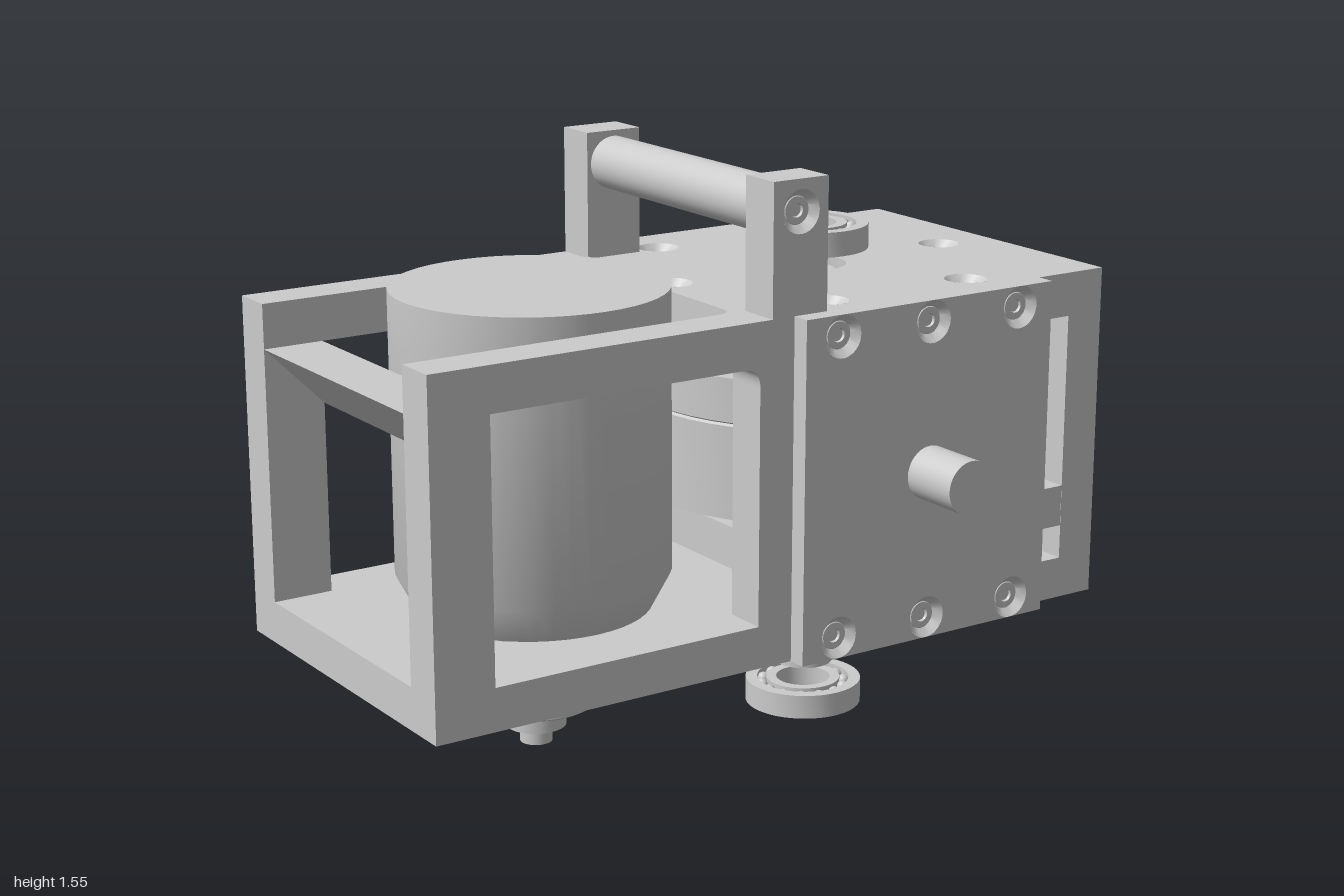
import * as THREE from 'three';
import { toCreasedNormals } from 'three/addons/utils/BufferGeometryUtils.js';

const grey = new THREE.MeshStandardMaterial({ color: 0xcccccc, side: THREE.DoubleSide });
const V = (x, y) => new THREE.Vector2(x, y);

export function createModel() {
  const root = new THREE.Group();

  const add = (name, geo, x = 0, y = 0, z = 0, parent = root) => {
    const m = new THREE.Mesh(geo, grey);
    m.name = name;
    m.position.set(x, y, z);
    parent.add(m);
    return m;
  };
  // box given by its limits
  const box = (name, x0, x1, y0, y1, z0, z1) =>
    add(name, new THREE.BoxGeometry(x1 - x0, y1 - y0, z1 - z0), (x0 + x1) / 2, (y0 + y1) / 2, (z0 + z1) / 2);
  const cyl = (name, r, y0, y1, x, z = 0, parent = root) =>
    add(name, new THREE.CylinderGeometry(r, r, y1 - y0, 40), x, (y0 + y1) / 2, z, parent);
  const lathe = (pts, seg = 40) =>
    toCreasedNormals(new THREE.LatheGeometry(pts.map(p => V(p[0], p[1])), seg), 0.5);
  const rect = (x0, x1, y0, y1) => new THREE.Shape([V(x0, y0), V(x1, y0), V(x1, y1), V(x0, y1)]);
  const drill = (shape, x, y, r) => {
    const p = new THREE.Path();
    p.absarc(x, y, r, 0, Math.PI * 2, true);
    shape.holes.push(p);
  };
  const extrude = (shape, depth) =>
    new THREE.ExtrudeGeometry(shape, { depth, bevelEnabled: false, curveSegments: 20 });
  // plate drawn as (x, -z), extruded upwards
  const flat = (shape, depth) => extrude(shape, depth).rotateX(-Math.PI / 2);

  // countersunk screw seat, opening along +y at the origin
  const R = 0.055;
  const seat = lathe([[0, -0.025], [0.016, -0.025], [0.018, -0.018], [0.034, -0.018], [0.036, -0.02], [R, 0]], 24);
  const screw = (x, y, z, rotX) => { add('screwSeat', seat, x, y, z).rotation.x = rotX; };

  // bottom plate with motor mounting holes
  const bottom = rect(-1, 1, -0.475, 0.475);
  for (const sx of [-1, 1]) for (const sz of [-1, 1]) {
    const x = -0.45 + sx * 0.175, z = sz * 0.175;
    drill(bottom, x, -z, R);
    screw(x, 0.34, z, Math.PI);
  }
  add('bottomPlate', flat(bottom, 0.11), 0, 0.34, 0);

  // top plate: closed over the gearbox, two rails beside the motor
  const top = new THREE.Shape();
  top.moveTo(-1, -0.475);
  top.lineTo(1, -0.475);
  top.lineTo(1, 0.475);
  top.lineTo(-1, 0.475);
  top.lineTo(-1, 0.36);
  top.lineTo(-0.14, 0.36);
  top.quadraticCurveTo(-0.09, 0.36, -0.09, 0.31);
  top.lineTo(-0.09, -0.31);
  top.quadraticCurveTo(-0.09, -0.36, -0.14, -0.36);
  top.lineTo(-1, -0.36);
  for (const [x, z] of [[0.18, 0.38], [0.18, -0.38], [0.62, 0.38], [0.62, -0.38], [0.84, 0], [-0.03, 0]]) {
    drill(top, x, -z, R);
    screw(x, 1.225, z, 0);
  }
  drill(top, 0.4, 0, 0.1);
  add('topPlate', flat(top, 0.115), 0, 1.11, 0);

  // end wall, shelf and slanted brace under the open end
  box('endWall', 0.89, 1, 0.45, 1.11, -0.475, 0.475);
  box('shelf', -0.04, 0.89, 0.54, 0.65, -0.474, 0.474);
  add('endBrace', extrude(new THREE.Shape([V(-1, 1.11), V(-0.84, 0.95), V(-0.84, 1.11)]), 0.72), 0, 0, -0.36);

  // parts repeated on front and back
  for (const s of [1, -1]) {
    const turn = s * Math.PI / 2;
    const zMin = (a, b) => Math.min(s * a, s * b);
    const span = (name, x0, x1, y0, y1, a, b) => box(name, x0, x1, y0, y1, zMin(a, b), -zMin(-a, -b));
    span('cornerPost', -1, -0.84, 0.45, 1.11, 0.36, 0.475);
    span('middlePost', -0.09, 0.04, 0.45, 1.11, 0.36, 0.475);

    const fillet = new THREE.Shape();
    fillet.moveTo(-0.09, 1.11);
    fillet.lineTo(-0.14, 1.11);
    fillet.quadraticCurveTo(-0.09, 1.11, -0.09, 1.06);
    add('openingFillet', extrude(fillet, 0.115), 0, 0, zMin(0.36, 0.475));

    // bolted cover plate with six screws
    const cover = rect(0.01, 0.785, 0.34, 1.225);
    for (const x of [0.12, 0.4, 0.68]) for (const y of [0.395, 1.17]) {
      drill(cover, x, y, R);
      screw(x, y, s * 0.525, turn);
    }
    add('coverPlate', extrude(cover, 0.05), 0, 0, zMin(0.475, 0.525));
    const stub = cyl('sideShaft', 0.07, -0.11, 0.11, 0.4);
    stub.position.set(0.4, 0.78, s * 0.58);
    stub.rotation.x = turn;

    // handle post
    const post = rect(-0.055, 0.107, 1.225, 1.56);
    drill(post, 0.026, 1.48, R);
    screw(0.026, 1.48, s * 0.475, turn);
    add('handlePost', extrude(post, 0.115), 0, 0, zMin(0.36, 0.475));
  }
  const rod = cyl('handleRod', 0.07, -0.37, 0.37, 0);
  rod.position.set(0.026, 1.475, 0);
  rod.rotation.x = Math.PI / 2;

  // motor body with tapered foot
  add('motor', lathe([[0, 0.45], [0.3, 0.45], [0.35, 0.545], [0.35, 1.272], [0, 1.272]], 48), -0.45, 0, 0);

  // drum inside the gearbox
  add('drum', lathe([[0, 0.65], [0.47, 0.65], [0.47, 0.895], [0.462, 0.9], [0.47, 0.905],
    [0.47, 1.02], [0.4, 1.02], [0.4, 1.05], [0, 1.05]], 48), 0.4, 0, 0);
  cyl('drumShaft', 0.07, 1.05, 1.21, 0.4);

  // toothed belt pulleys below the frame
  const teeth = 18, pts = [];
  for (let i = 0; i < teeth; i++) {
    [[0, 0.123], [0.55, 0.123], [0.62, 0.1], [0.93, 0.1]].forEach(([f, r]) => {
      const a = (i + f) / teeth * Math.PI * 2;
      pts.push(V(r * Math.cos(a), r * Math.sin(a)));
    });
  }
  const gear = flat(new THREE.Shape(pts), 0.13);
  for (const x of [-0.45, 0.4]) {
    const pulley = new THREE.Group();
    pulley.name = 'beltPulley';
    pulley.position.x = x;
    root.add(pulley);
    add('toothedRim', gear, 0, 0.197, 0, pulley);
    add('upperFlange', lathe([[0, 0.32], [0.135, 0.32], [0.157, 0.332], [0.157, 0.339], [0, 0.339]]), 0, 0, 0, pulley);
    add('lowerFlange', lathe([[0, 0.18], [0.145, 0.18], [0.157, 0.187], [0.157, 0.194], [0.135, 0.2], [0, 0.2]]), 0, 0, 0, pulley);
    cyl('hub', 0.078, 0.12, 0.18, 0, 0, pulley);
    const grub = cyl('setScrew', 0.018, -0.005, 0.005, 0, 0, pulley);
    grub.position.set(-0.078, 0.15, 0);
    grub.rotation.z = Math.PI / 2;
    if (x < 0) cyl('motorShaft', 0.042, 0.075, 0.12, 0, 0, pulley);
    else cyl('shaftEnd', 0.042, 0.115, 0.12, 0, 0, pulley);
  }

  // ball bearings floating above and below the drum axis
  const ring = (r0, r1) => lathe([[r0, 0], [r1, 0], [r1, 0.065], [r0, 0.065], [r0, 0]]);
  const ball = new THREE.SphereGeometry(0.017, 12, 8);
  for (const y of [0.005, 1.27]) {
    const bearing = new THREE.Group();
    bearing.name = 'ballBearing';
    bearing.position.set(0.4, y, 0);
    root.add(bearing);
    add('outerRing', ring(0.125, 0.157), 0, 0, 0, bearing);
    add('innerRing', ring(0.073, 0.1), 0, 0, 0, bearing);
    add('cage', lathe([[0.1, 0.018], [0.125, 0.018], [0.125, 0.047], [0.1, 0.047]]), 0, 0, 0, bearing);
    for (let i = 0; i < 14; i++) {
      const a = i / 14 * Math.PI * 2;
      for (const by of [0.02, 0.045]) add('ball', ball, 0.1125 * Math.cos(a), by, 0.1125 * Math.sin(a), bearing);
    }
  }
  return root;
}
